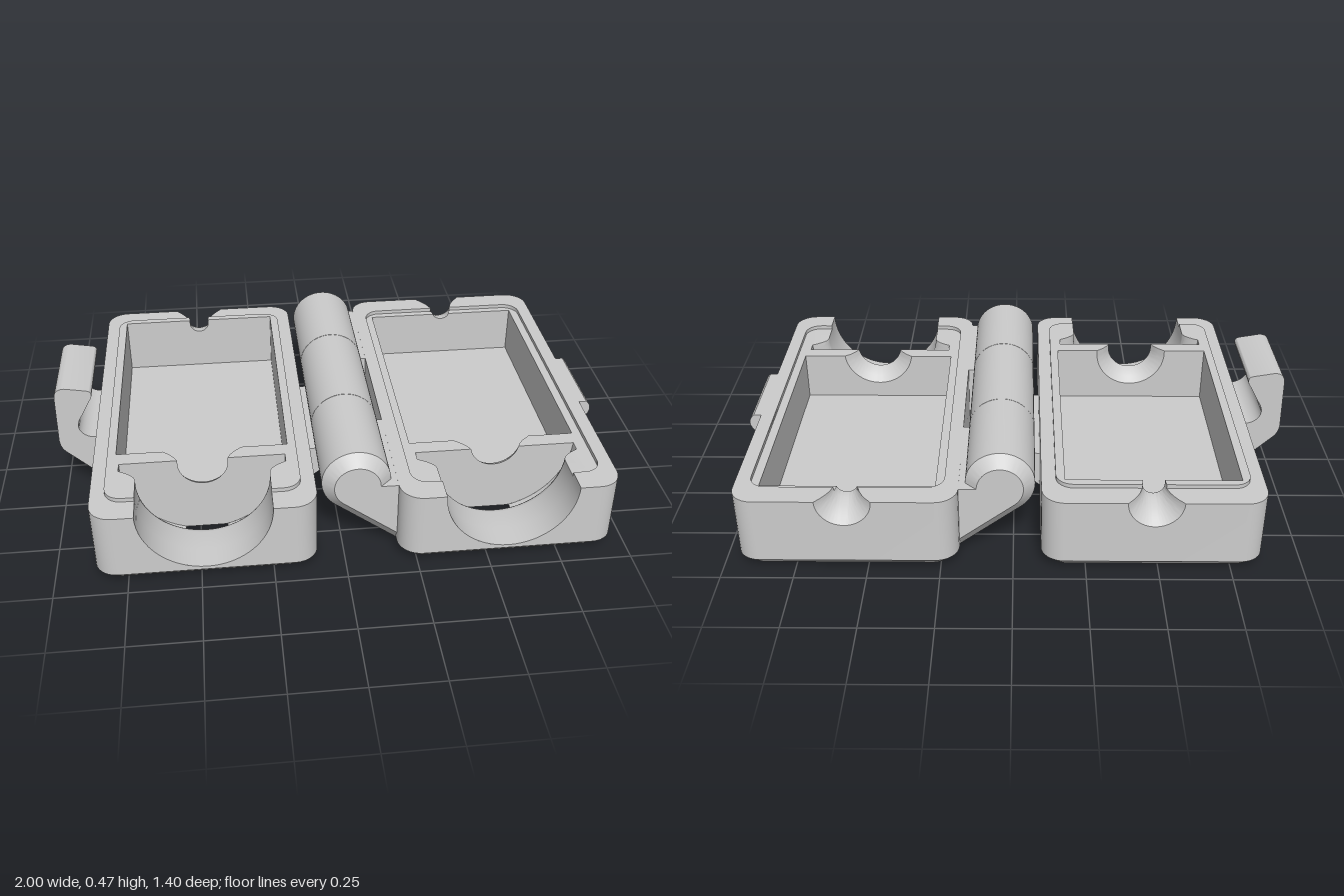
import * as THREE from 'three';
import { mergeGeometries, toCreasedNormals } from 'three/addons/utils/BufferGeometryUtils.js';

const AXIS = 0.282; // height of the parting plane and of the bore axis

// Flat plate from x,z points, facing up (or down)
function plan(pts, y, down = false, hole = null) {
  const k = down ? 1 : -1;
  const v = (list) => list.map(([x, z]) => new THREE.Vector2(x, k * z));
  const shape = new THREE.Shape(v(pts));
  if (hole) shape.holes.push(new THREE.Path(v(hole)));
  return new THREE.ShapeGeometry(shape).rotateX(k * Math.PI / 2).translate(0, y, 0);
}

// Flat plate from x,y points at a given z, facing front (or back)
function face(pts, z, back = false) {
  const shape = new THREE.Shape(pts.map(([x, y]) => new THREE.Vector2(back ? -x : x, y)));
  const g = new THREE.ShapeGeometry(shape);
  if (back) g.rotateY(Math.PI);
  return g.translate(0, 0, z);
}

// Quads joining two rows of 3D points
function strip(a, b) {
  const pos = [];
  for (let i = 0; i < a.length - 1; i++) {
    pos.push(...a[i], ...a[i + 1], ...b[i], ...a[i + 1], ...b[i + 1], ...b[i]);
  }
  const g = new THREE.BufferGeometry();
  g.setAttribute('position', new THREE.Float32BufferAttribute(pos, 3));
  return g;
}
const wall = (path, y0, y1) => strip(path.map(([x, z]) => [x, y0, z]), path.map(([x, z]) => [x, y1, z]));

// +x side of a rounded rectangle, front to back
function side(hw, zf, zb, r) {
  const pts = [];
  for (const [cz, a0] of [[zf - r, Math.PI / 2], [zb + r, 0]]) {
    for (let i = 0; i <= 8; i++) {
      const a = a0 - (i / 8) * Math.PI / 2;
      pts.push([hw - r + r * Math.cos(a), cz + r * Math.sin(a)]);
    }
  }
  return pts;
}
const mirror = (pts) => pts.map(([x, z]) => [-x, z]).reverse();

// Wall outline with a half-round notch in its top edge
function notched(hw, y0, y1, r) {
  const a = y1 < AXIS ? Math.asin((AXIS - y1) / r) : 0;
  const pts = [[-hw, y0], [hw, y0], [hw, y1]];
  if (y1 > AXIS) pts.push([r, y1]);
  for (let i = 0; i <= 32; i++) {
    const t = -a - (i / 32) * (Math.PI - 2 * a);
    pts.push([r * Math.cos(t), AXIS + r * Math.sin(t)]);
  }
  if (y1 > AXIS) pts.push([-r, y1]);
  pts.push([-hw, y1]);
  return pts;
}

// Turned surface about the bore axis, lower half; its top edge sits at level top
function bore(profile, top, from = -Math.PI / 2, to = Math.PI / 2) {
  const g = new THREE.LatheGeometry(profile.map(([r, z]) => new THREE.Vector2(r, z)), 48, from, to - from);
  g.rotateX(Math.PI / 2).translate(0, AXIS, 0);
  const p = g.attributes.position;
  for (let i = 0; i < p.count; i++) {
    const y = p.getY(i);
    p.setY(i, y > AXIS - 0.001 ? top : Math.max(0, Math.min(y, top)));
  }
  return g;
}

function finish(parts) {
  const clean = parts.map((g) => {
    const n = g.index ? g.toNonIndexed() : g;
    n.deleteAttribute('uv');
    n.deleteAttribute('normal');
    return n;
  });
  return toCreasedNormals(mergeGeometries(clean), 0.5);
}

// Half shell; level is the height of the inner rim (raised lip or sunk groove)
function trayGeometry(level) {
  const FLOOR = 0.08, END = 0.7025, BACK = -0.585, HALF = 0.302, parts = [];
  const back = (z) => [0.038 + 0.057 * ((BACK - z) / (END + BACK)) ** 2, z];
  const backOuter = [-0.613, -0.64, -0.66, -0.68, -END].map(back);
  const backInner = [BACK, -0.6, -0.613].map(back);
  const flare = [];
  for (let i = 0; i <= 6; i++) flare.push([0.23 + 0.06 * (i / 6) ** 2, 0.52 - 0.06 * i / 6]);
  const neck = [[0.29, 0.42], [0.088, 0.42], [0.098, 0.40], [0.115, 0.38], [0.139, 0.36]];
  const lip = [[0.23, 0.613], ...side(0.333, 0.613, -0.613, 0.06), backOuter[0]];
  const outer = side(0.3825, END, -END, 0.08);

  // Outer walls, rims and cavity sides, mirrored
  const outerRim = [[0.23, END], ...outer, ...[...backOuter].reverse(), ...[...lip].reverse().slice(1)];
  const innerRim = [...lip, backInner[1], backInner[0], [HALF, BACK], [HALF, 0.36],
    ...[...neck].reverse(), ...[...flare].reverse()];
  for (const m of [(p) => p, mirror]) {
    parts.push(wall(m(outer), 0.04, AXIS), wall(m(lip), AXIS, level));
    parts.push(plan(m(outerRim), AXIS), plan(m(innerRim), level));
    parts.push(wall(m([[HALF, BACK], [HALF, 0.36]]), FLOOR, level));
  }
  // Front and back walls
  parts.push(face(notched(0.3025, 0.04, AXIS, 0.23), END));
  parts.push(face(notched(0.3025, 0.04, AXIS, 0.095), -END, true));
  // Chamfered underside with the small slot
  const inset = side(0.3425, 0.6625, -0.6625, 0.05);
  const loop = (s) => [...s, ...mirror(s)];
  const close = (l) => [...l, l[0]];
  parts.push(strip(close(loop(inset)).map(([x, z]) => [x, 0, z]), close(loop(outer)).map(([x, z]) => [x, 0.04, z])));
  parts.push(plan(loop(inset), 0, true, [[-0.075, 0.42], [0.075, 0.42], [0.075, 0.46], [-0.075, 0.46]]));
  // Cavity floor and end walls
  parts.push(plan([[-HALF, BACK], [HALF, BACK], [HALF, 0.36], [-HALF, 0.36]], FLOOR));
  parts.push(face(notched(HALF, FLOOR, level, 0.139), 0.36, true));
  parts.push(face(notched(HALF, FLOOR, level, 0.038), BACK));
  // Front bore, flange seat, neck and back outlet
  const slot = Math.asin(0.075 / 0.29), seat = [[0.29, 0.46], [0.29, 0.42]];
  parts.push(bore([[0.23, END], [0.23, 0.613]], AXIS));
  parts.push(bore([[0.23, 0.613], ...flare], level));
  parts.push(bore(seat, level, slot, Math.PI / 2), bore(seat, level, -Math.PI / 2, -slot));
  parts.push(bore(neck.slice(0, 2), level), bore(neck.slice(1), level));
  parts.push(bore(backInner, level), bore(backOuter, AXIS));
  return finish(parts);
}

// Hinge knuckle outline with its arm towards +x
function knuckle(r, endAngle, armTop) {
  const cx = 0.045, cy = 0.282, start = Math.atan2(-0.79, -0.61) + 2 * Math.PI;
  const pts = [[cx - 0.61 * r + 0.245, cy - 0.79 * r - 0.186]];
  for (let i = 0; i <= 40; i++) {
    const a = start + (endAngle - start) * i / 40;
    pts.push([cx + r * Math.cos(a), cy + r * Math.sin(a)]);
  }
  pts.push([0.215, armTop]);
  return pts;
}

// Prism through outlines at successive z
function loft(sections) {
  const n = sections.length - 1, forward = sections[n].z > sections[0].z, parts = [];
  const ring = ({ pts, z }) => [...pts, pts[0]].map(([x, y]) => [x, y, z]);
  for (let i = 0; i < n; i++) {
    const a = ring(sections[i]), b = ring(sections[i + 1]);
    parts.push(forward ? strip(b, a) : strip(a, b));
  }
  parts.push(face(sections[0].pts, sections[0].z, forward), face(sections[n].pts, sections[n].z, !forward));
  return finish(parts);
}

export function createModel() {
  const model = new THREE.Group();
  model.name = 'hingedCase';
  const grey = new THREE.MeshStandardMaterial({ color: 0xcccccc, side: THREE.DoubleSide });
  grey.name = 'lightGrey';
  const add = (name, geometry, x = 0) => {
    const mesh = new THREE.Mesh(geometry, grey);
    mesh.name = name;
    mesh.position.x = x;
    model.add(mesh);
  };

  // Two half shells
  add('lippedTray', trayGeometry(0.297), -0.478);
  add('groovedTray', trayGeometry(0.267), 0.569);

  // Hinge: two chamfered end knuckles and one middle knuckle
  const big = knuckle(0.12, 0, 0.281), small = knuckle(0.08, 0, 0.281);
  add('frontKnuckle', loft([{ pts: big, z: 0.218 }, { pts: big, z: 0.582 }, { pts: small, z: 0.622 }]));
  add('backKnuckle', loft([{ pts: big, z: -0.222 }, { pts: big, z: -0.585 }, { pts: small, z: -0.625 }]));
  const middle = knuckle(0.12, -1.22, 0.165).map(([x, y]) => [0.09 - x, y]).reverse();
  add('middleKnuckle', loft([{ pts: middle, z: -0.22 }, { pts: middle, z: 0.216 }]));

  // Latch hook and its catch
  const extrude = (shape) => toCreasedNormals(
    new THREE.ExtrudeGeometry(shape, { depth: 0.32, bevelEnabled: false, curveSegments: 8 }).translate(0, 0, -0.141), 0.5);
  const hook = new THREE.Shape();
  hook.moveTo(-0.85, 0.07);
  hook.lineTo(-0.85, 0.255);
  hook.lineTo(-0.88, 0.255);
  hook.bezierCurveTo(-0.915, 0.265, -0.935, 0.295, -0.917, 0.33);
  hook.lineTo(-0.864, 0.425);
  hook.quadraticCurveTo(-0.857, 0.45, -0.88, 0.454);
  hook.lineTo(-0.955, 0.467);
  hook.quadraticCurveTo(-0.993, 0.468, -0.995, 0.43);
  hook.lineTo(-1, 0.25);
  hook.quadraticCurveTo(-1, 0.215, -0.98, 0.195);
  add('latchHook', extrude(hook));
  const ridge = new THREE.Shape();
  ridge.moveTo(0.94, 0.15);
  ridge.lineTo(0.951, 0.152);
  ridge.quadraticCurveTo(0.966, 0.184, 0.995, 0.232);
  ridge.quadraticCurveTo(1.005, 0.262, 0.98, 0.281);
  ridge.lineTo(0.94, 0.281);
  add('latchCatch', extrude(ridge));
  return model;
}
